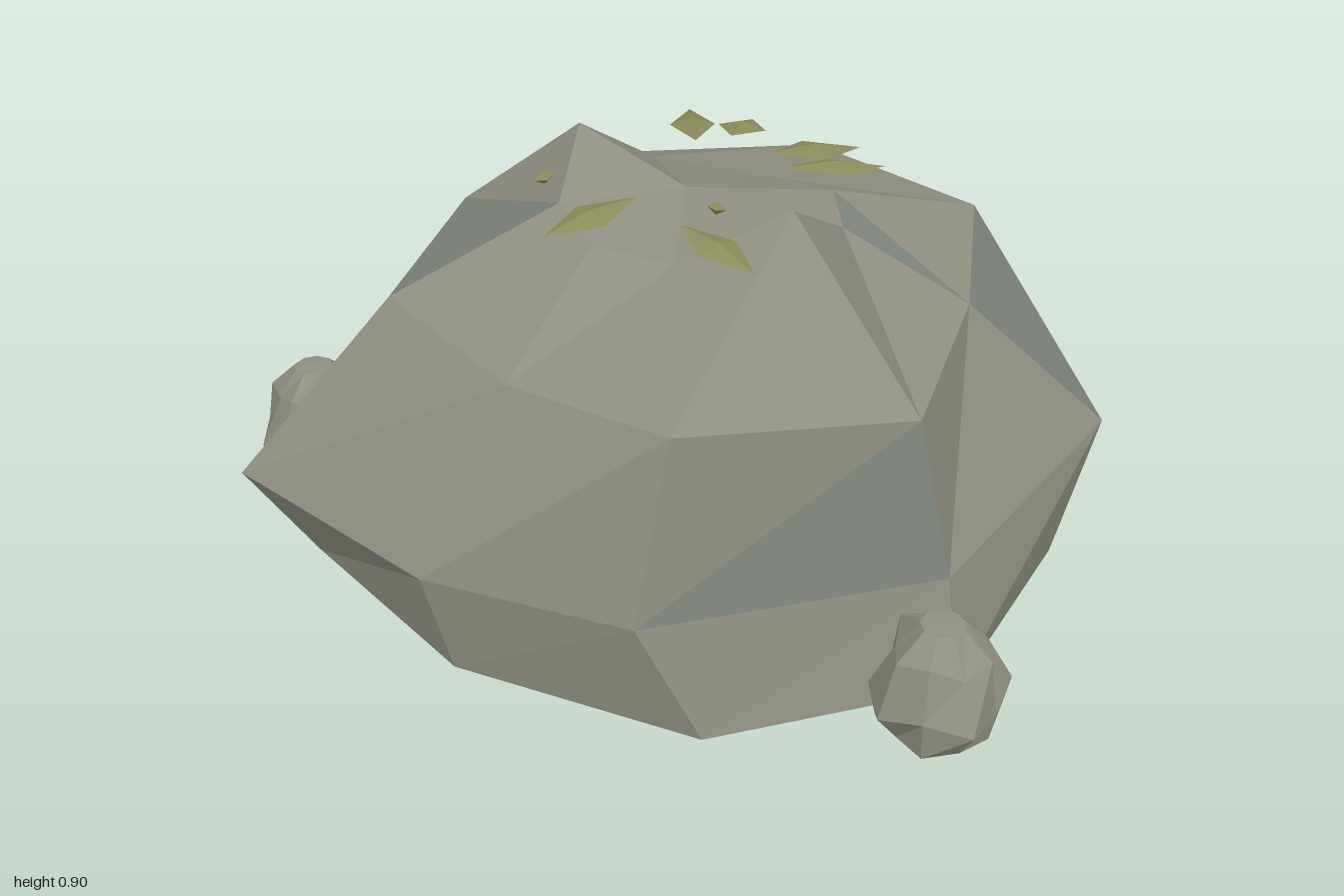
import * as THREE from 'three';

const paint = (name, color) => {
  const m = new THREE.MeshStandardMaterial({ color, flatShading: true, side: THREE.DoubleSide });
  m.name = name;
  return m;
};

// Facets between two rings that each run from +x towards +z
function band(lower, upper) {
  const tris = [];
  lower.forEach((a, k) => {
    const n = (k + 1) % lower.length;
    tris.push([a, upper[k], lower[n]], [lower[n], upper[k], upper[n]]);
  });
  return tris;
}

const fan = (ring, centre) => ring.map((p, k) => [p, centre, ring[(k + 1) % ring.length]]);

function facetMesh(name, tris, material) {
  const g = new THREE.BufferGeometry();
  g.setAttribute('position', new THREE.Float32BufferAttribute(tris.flat(2), 3));
  g.computeVertexNormals();
  const mesh = new THREE.Mesh(g, material);
  mesh.name = name;
  return mesh;
}

export function createModel() {
  const model = new THREE.Group();
  model.name = 'boulder';
  const warm = paint('warm stone', 0x8f9081);
  const cool = paint('cool stone', 0x7e857c);
  const moss = paint('moss green', 0x8a8c5a);

  // Main boulder: four nine-sided rings, open underneath
  const rings = [
    [[.92, 0, 0], [.64, 0, .49], [.19, 0, .79], [-.34, 0, .69], [-.69, 0, .26],
      [-.81, 0, -.26], [-.39, 0, -.69], [.15, 0, -.72], [.7, 0, -.51]],
    [[.945, .23, 0], [.8, .265, .43], [.19, .24, .735], [-.45, .26, .62], [-.74, .22, .23],
      [-.95, .22, -.31], [-.47, .24, -.77], [.19, .25, -1], [.63, .23, -.58]],
    [[.72, .63, 0], [.47, .605, .35], [.15, .58, .66], [-.36, .655, .6], [-.525, .605, .21],
      [-.61, .61, -.23], [-.31, .64, -.55], [.12, .63, -.64], [.57, .63, -.46]],
    [[.34, .75, 0], [.28, .735, .14], [.07, .885, .29], [-.16, .785, .22], [-.27, .79, .07],
      [-.275, .82, -.08], [-.145, .905, -.26], [.05, .77, -.3], [.25, .74, -.15]],
  ];
  const facets = [
    ...band(rings[0], rings[1]),
    ...band(rings[1], rings[2]),
    ...band(rings[2], rings[3]),
    ...fan(rings[3], [-.02, .835, 0]),
  ];
  // Facets of a cooler stone
  const coolFacets = new Set([19, 22, 30, 37, 46]);
  model.add(
    facetMesh('boulderFacets', facets.filter((_, i) => !coolFacets.has(i)), warm),
    facetMesh('boulderCoolFacets', facets.filter((_, i) => coolFacets.has(i)), cool),
  );

  // Small stones around and under the boulder
  function pebble(x, z, size, seed) {
    const profile = [[.11, 0], [.138, .075], [.1, .185], [.045, .24]];
    const levels = profile.map(([r, y], j) => Array.from({ length: 9 }, (_, k) => {
      const a = (k / 9) * Math.PI * 2 + seed;
      const wobble = j === 3 ? 1 : 1 + .11 * Math.sin(k * 2.7 + j * 1.9 + seed);
      const lift = j % 3 ? .014 * Math.sin(k * 4.1 + j + seed) : 0;
      return [r * wobble * Math.cos(a), y + lift, r * wobble * Math.sin(a)];
    }));
    const tris = [0, 1, 2].flatMap((j) => band(levels[j], levels[j + 1]));
    tris.push(...fan(levels[3], [0, .243, 0]));
    const mesh = facetMesh('smallStone', tris, warm);
    mesh.position.set(x, 0, z);
    mesh.scale.setScalar(size);
    model.add(mesh);
  }
  pebble(.1, .85, 1, .3);
  pebble(-.68, -.65, 1, 1.7);
  pebble(.59, .12, 1.12, 3.1);

  // Moss leaves drooping outwards: folded diamonds [x, y, z, length, width, heading]
  const leaves = [
    [.295, .85, -.01, .23, .11, 0], [.295, .845, .075, .24, .09, -.12],
    [.13, .845, -.265, .26, .1, 1.15], [.22, .845, -.2, .15, .11, .75],
    [-.265, .845, .055, .22, .11, Math.PI + .1], [-.1, .84, .29, .21, .1, -1.3],
    [-.265, .835, -.18, .05, .035, Math.PI], [-.03, .855, .155, .04, .025, -.7],
  ];
  for (const [x, y, z, length, width, heading] of leaves) {
    const leaf = new THREE.Mesh(new THREE.OctahedronGeometry(.5), moss);
    leaf.name = 'mossLeaf';
    leaf.scale.set(length, .03, width);
    leaf.rotation.set(0, heading, -.14, 'YXZ');
    leaf.position.set(x, y, z);
    model.add(leaf);
  }
  return model;
}
